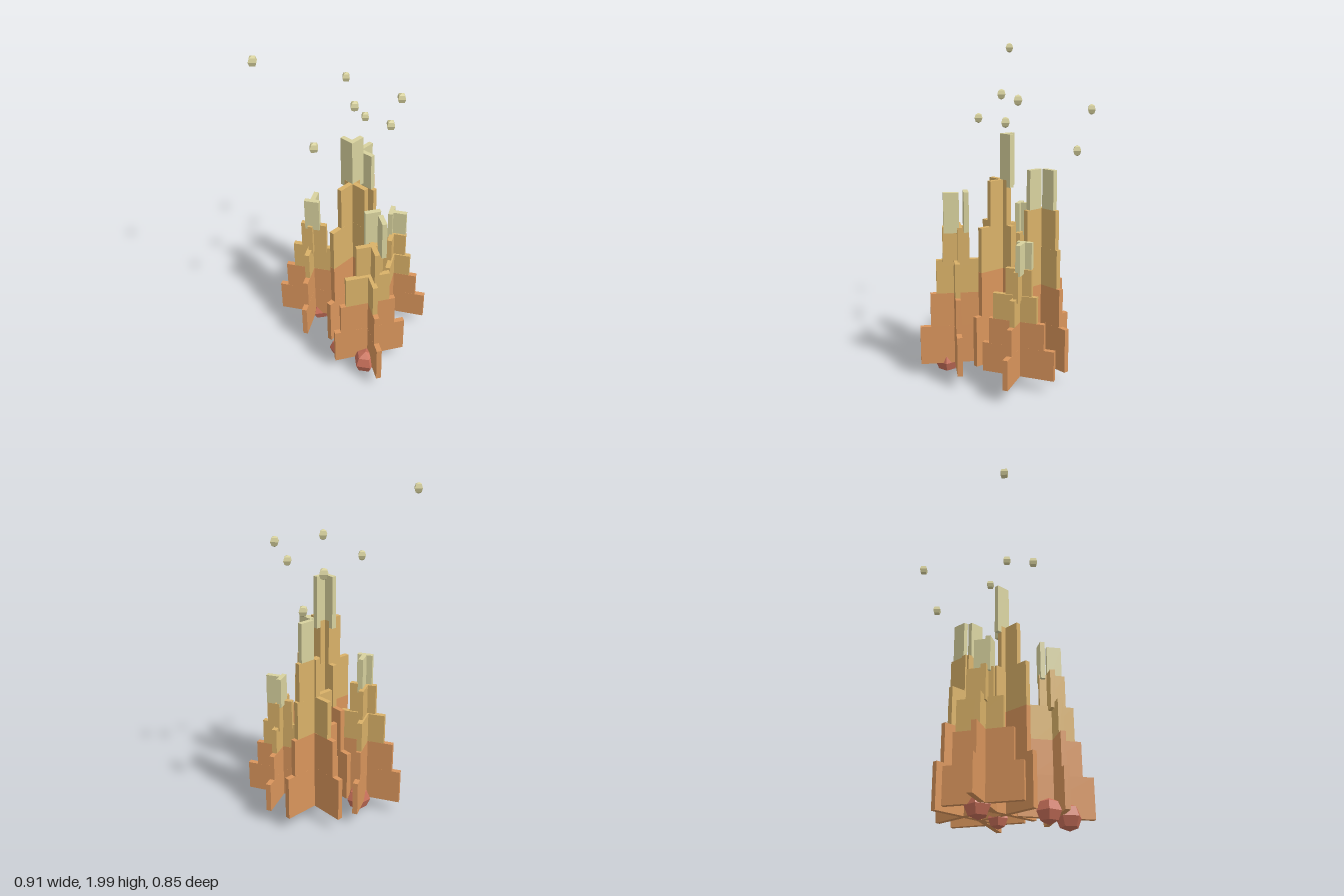
import * as THREE from 'three';

const mat = (name, color) => {
  const m = new THREE.MeshStandardMaterial({ color, flatShading: true });
  m.name = name;
  return m;
};

export function createModel() {
  const orange = mat('orange', 0xd9955c);
  const gold = mat('gold', 0xd9b168);
  const pale = mat('paleYellow', 0xd8d29e);
  const red = mat('emberRed', 0xc8705a);

  const BASE = 0.09;
  const rowWidths = [0.44, 0.337, 0.266, 0.157, 0.09];
  const rowColors = [orange, orange, gold, gold, pale];
  const model = new THREE.Group();
  model.name = 'fire';

  // A flame is two crossed stepped plates; sway shifts each row [along, across] its plate
  function addFlame(name, x, z, top, degrees, sway) {
    const flame = new THREE.Group();
    flame.name = name;
    flame.position.set(x, BASE, z);
    flame.rotation.y = THREE.MathUtils.degToRad(degrees);
    const step = (top - BASE) / 5.15;
    const height = step * 1.15;
    for (let p = 0; p < 2; p++) {
      const plate = new THREE.Group();
      plate.name = p ? 'crossPlate' : 'mainPlate';
      plate.rotation.y = p * Math.PI / 2;
      rowWidths.forEach((w, i) => {
        // rows overlap a little, so each is a hair thinner than the one below
        const row = new THREE.Mesh(new THREE.BoxGeometry(w, height, 0.031 - i * 0.0006), rowColors[i]);
        row.name = 'flameRow' + (i + 1);
        row.position.set(sway[i][0], i * step + height / 2, sway[i][1]);
        // across is measured towards the second plate (-z)
        row.position.z *= -1;
        plate.add(row);
      });
      flame.add(plate);
    }
    model.add(flame);
  }

  addFlame('centreFlame', 0, 0.033, 1.48, -90, [[0, 0], [0.01, 0], [0.045, 0], [0.03, 0], [-0.032, 0]]);
  addFlame('rightFlame', -0.26, 0.134, 1.025, 30, [[0, 0], [0, 0], [0.02, 0], [0.025, -0.01], [0.022, -0.025]]);
  addFlame('backLeftFlame', 0.104, -0.228, 0.895, 29, [[0, 0], [-0.01, 0], [-0.02, 0], [0, 0.008], [0.03, 0.02]]);
  addFlame('backRightFlame', -0.13, -0.163, 1.285, 1.5, [[0, 0], [0, 0], [0.01, 0], [0.05, 0], [0.063, 0]]);
  addFlame('leftFlame', 0.26, 0.162, 1.155, -32, [[0, 0], [-0.013, 0], [-0.015, 0], [0, 0.02], [0.028, 0.06]]);

  // Low-sided glowing embers: x, z, radius, turn
  [
    [0.1, 0.253, 0.071, 3.28],
    [0.03, -0.063, 0.058, 3.31],
    [0.288, 0.228, 0.075, 2.76],
    [-0.252, 0.088, 0.075, 3.14],
  ].forEach(([x, z, r, turn]) => {
    const ember = new THREE.Mesh(new THREE.SphereGeometry(r, 5, 4), red);
    ember.name = 'ember';
    ember.position.set(x, 0.088, z);
    ember.rotation.y = turn;
    model.add(ember);
  });

  // Floating sparks
  const sparkShape = new THREE.SphereGeometry(0.031, 4, 4);
  [
    [-0.356, 1.969, 0.393],
    [-0.376, 1.62, -0.312],
    [0.015, 1.705, 0.03],
    [0.12, 1.688, -0.235],
    [0.128, 1.563, -0.14],
    [-0.027, 1.55, 0.298],
    [-0.24, 1.395, -0.335],
  ].forEach((p) => {
    const spark = new THREE.Mesh(sparkShape, pale);
    spark.name = 'spark';
    spark.position.set(...p);
    model.add(spark);
  });

  return model;
}
